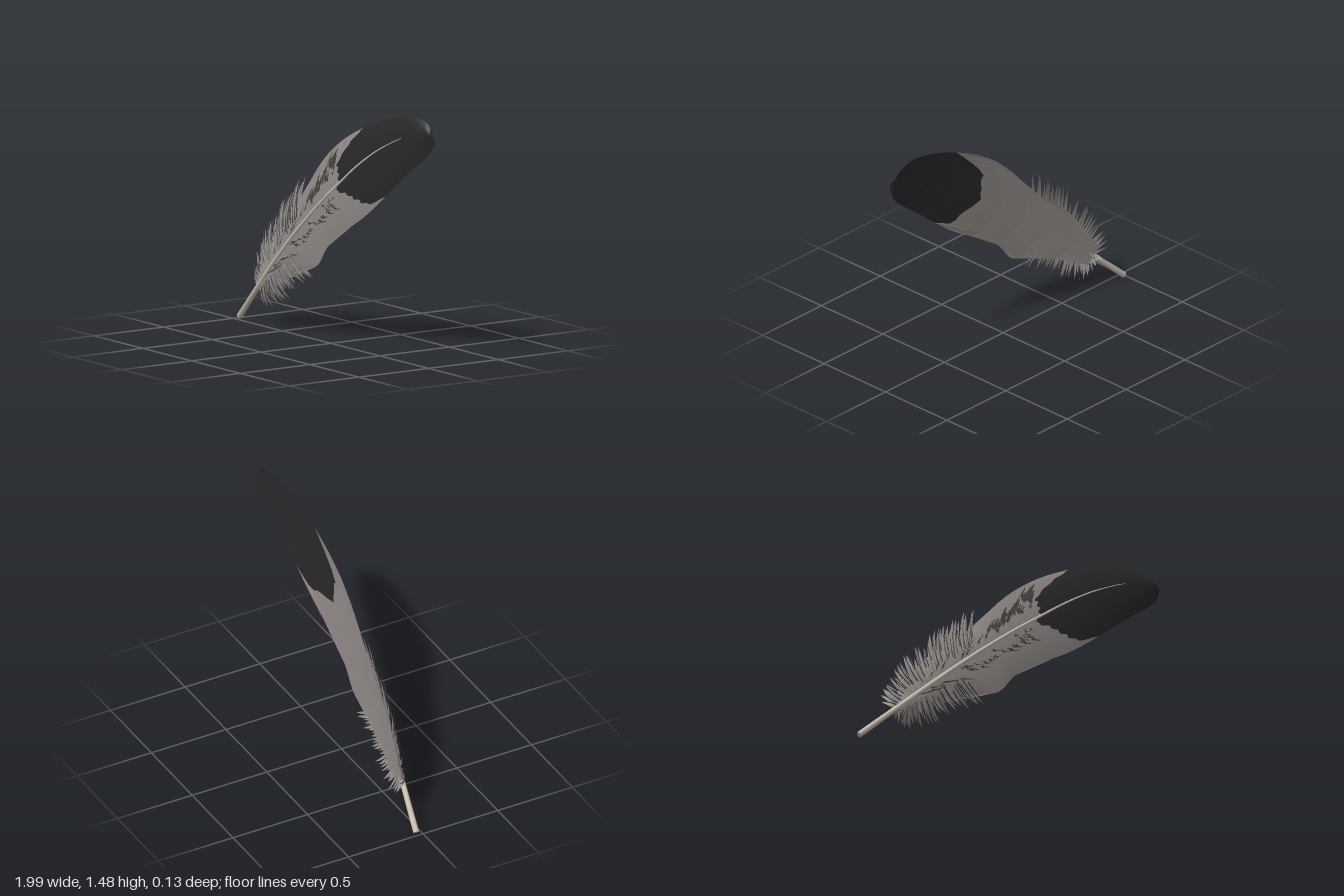
import * as THREE from 'three';

const mat = (name, color, extra = {}) => {
  const m = new THREE.MeshStandardMaterial({ color, side: THREE.DoubleSide, ...extra });
  m.name = name;
  return m;
};

// Seeded random numbers
let seed = 7;
const rnd = (a = 0, b = 1) => {
  seed = (seed * 16807) % 2147483647;
  return a + (b - a) * seed / 2147483647;
};

// Cross rows from base to tip: shaft x,y, upper edge x,y, lower edge x,y
const ROWS = [
  [-0.75, 0.225, -0.79, 0.27, -0.71, 0.18],
  [-0.6, 0.36, -0.67, 0.44, -0.53, 0.27],
  [-0.42, 0.52, -0.52, 0.63, -0.27, 0.4],
  [-0.22, 0.69, -0.31, 0.79, -0.1, 0.45],
  [-0.02, 0.85, -0.19, 0.93, 0.01, 0.58],
  [0.16, 0.985, -0.03, 1.1, 0.17, 0.69],
  [0.33, 1.11, 0.16, 1.24, 0.4, 0.83],
  [0.52, 1.23, 0.4, 1.36, 0.63, 1.01],
  [0.7, 1.32, 0.62, 1.44, 0.82, 1.165],
  [0.84, 1.375, 0.8, 1.476, 0.93, 1.25],
  [0.93, 1.395, 0.93, 1.45, 0.985, 1.31],
  [0.985, 1.38, 0.965, 1.42, 0.997, 1.345],
];
const LAST = ROWS.length - 1;
const curve = pts => new THREE.CatmullRomCurve3(pts.map(p => new THREE.Vector3(p[0], p[1], 0)));
const [mid, upper, lower] = [0, 2, 4].map(k => curve(ROWS.map(r => r.slice(k, k + 2))));

// Lengthwise bow of the whole feather
const bow = x => 0.045 - (x > 0.1 ? 0.1 : 0.07) * (x - 0.1) ** 2;

// Point on the vane: t along the rows, v from lower edge (-1) to upper edge (1)
function vanePoint(t, v, lift) {
  const u = THREE.MathUtils.clamp(t / LAST, 0, 1);
  const p = mid.getPoint(u).lerp((v > 0 ? upper : lower).getPoint(u), Math.abs(v));
  p.z = bow(p.x) - 0.014 * v * v + lift * (1 - v * v);
  return p;
}

// Where the dark tip begins, for each v
const EDGE = [[-1, 6.7], [-0.85, 6.15], [-0.35, 5.4], [-0.1, 4.85], [0, 5], [0.2, 5.2], [0.5, 5.4], [0.75, 6.2], [1, 6.9]];
function tipStart(v) {
  const i = Math.max(1, EDGE.findIndex(e => e[0] >= v - 1e-6));
  const [a, b] = [EDGE[i - 1], EDGE[i]];
  return a[1] + (b[1] - a[1]) * (v - a[0]) / (b[0] - a[0]) + 0.05 * Math.sin(v * 37);
}

// Patch of points joined into triangles facing the front, or the back if flipped
function patch(nu, nv, fn, flip = false) {
  const pos = [], idx = [];
  for (let i = 0; i <= nu; i++)
    for (let j = 0; j <= nv; j++) pos.push(...fn(i / nu, j / nv).toArray());
  for (let i = 0; i < nu; i++)
    for (let j = 0; j < nv; j++) {
      const a = i * (nv + 1) + j, b = a + nv + 1;
      idx.push(...(flip ? [a, a + 1, b, b, a + 1, b + 1] : [a, b, a + 1, b, b + 1, a + 1]));
    }
  return { pos, idx };
}

function toGeometry(patches, faceted = false) {
  const pos = [], idx = [];
  for (const p of patches) {
    const start = pos.length / 3;
    for (const n of p.pos) pos.push(n);
    for (const n of p.idx) idx.push(n + start);
  }
  let g = new THREE.BufferGeometry();
  g.setAttribute('position', new THREE.Float32BufferAttribute(pos, 3));
  g.setIndex(idx);
  if (faceted) g = g.toNonIndexed();
  g.computeVertexNormals();
  return g;
}

// Tapered, ridged barb that curves from root to tip and droops backwards
function barb(root, tip, side, width, droop, lift) {
  const dir = tip.clone().sub(root);
  const ctrl = root.clone().lerp(tip, 0.5).add(new THREE.Vector3(dir.y, -dir.x, 0).multiplyScalar(-side * 0.13));
  const c = new THREE.QuadraticBezierCurve3(root, ctrl, tip);
  return patch(6, 2, (s, w) => {
    const p = c.getPoint(s), d = c.getTangent(s);
    const half = width * Math.pow(1 - s, 0.7) * (0.6 + 0.8 * s) * (w * 2 - 1);
    p.x -= d.y * half;
    p.y += d.x * half;
    p.z = bow(p.x) + lift - droop * s * s + (w === 0.5 ? 0.006 * (1 - s) : 0);
    return p;
  });
}

export function createModel() {
  seed = 7;
  const group = new THREE.Group();
  const grey = mat('vane grey', 0x938d8a);
  const black = mat('tip black', 0x2a2a2a);
  const dark = mat('streak dark grey', 0x454341);
  const ivory = mat('shaft ivory', 0xc4bcab);
  const add = (name, geometry, material) => {
    const m = new THREE.Mesh(geometry, material);
    m.name = name;
    group.add(m);
  };

  // Vane: smooth front and faceted back, each split at the dark tip
  for (const [face, lift, nu, nv, flip] of [['Front', 0.012, 24, 48, false], ['Back', -0.012, 5, 16, true]]) {
    const across = w => w * 2 - 1;
    add('vane' + face, toGeometry([patch(nu, nv, (s, w) =>
      vanePoint(s * tipStart(across(w)), across(w), lift), flip)], flip), grey);
    add('darkTip' + face, toGeometry([patch(nu, nv, (s, w) => {
      const t = tipStart(across(w));
      return vanePoint(t + s * (LAST - t), across(w), lift);
    }, flip)], flip), black);
  }

  // Shaft: tube along the middle, thinning towards the tip
  const path = new THREE.CatmullRomCurve3([
    [-0.985, 0.014], [-0.87, 0.118], ...ROWS.slice(0, 9).map(r => [r[0], r[1]]), [0.74, 1.337],
  ].map(([x, y]) => new THREE.Vector3(x, y, bow(x) + 0.009 * THREE.MathUtils.smoothstep(x, -0.9, -0.5))));
  const SEG = 48, SIDES = 10;
  const tube = new THREE.TubeGeometry(path, SEG, 1, SIDES);
  const tp = tube.attributes.position, v = new THREE.Vector3();
  for (let i = 0; i <= SEG; i++) {
    const c = path.getPointAt(i / SEG), r = 0.019 - 0.0155 * i / SEG;
    for (let j = 0; j <= SIDES; j++) {
      const k = i * (SIDES + 1) + j;
      v.fromBufferAttribute(tp, k).sub(c).multiplyScalar(r).add(c);
      tp.setXYZ(k, v.x, v.y, v.z);
    }
  }
  add('shaft', tube, ivory);
  const cap = new THREE.CircleGeometry(0.019, SIDES);
  cap.lookAt(path.getTangentAt(0).negate());
  cap.translate(...path.getPointAt(0).toArray());
  add('shaftEnd', cap, ivory);

  // Loose barbs: outline of their tips on each side, with dark slivers between
  const sides = [
    [1, 2.75, 32, [[-0.85, 0.29], [-0.8, 0.4], [-0.71, 0.56], [-0.59, 0.69], [-0.46, 0.83], [-0.36, 0.9], [-0.25, 0.965]]],
    [-1, 2.1, 30, [[-0.79, 0.2], [-0.67, 0.1], [-0.53, 0.15], [-0.41, 0.23], [-0.31, 0.29], [-0.18, 0.37]]],
  ];
  const light = [], slivers = [];
  for (const [side, span, count, outline] of sides) {
    const tips = curve(outline);
    for (let i = 0; i < count; i++) {
      const s = i / (count - 1);
      const root = mid.getPoint(s * span / LAST);
      const end = tips.getPoint(s);
      const tip = root.clone().lerp(end, i === count - 1 ? 1 : rnd(0.74, 1.03));
      const droop = rnd(0.02, 0.055);
      light.push(barb(root, tip, side, rnd(0.015, 0.022), droop, rnd(0.002, 0.01)));
      const shift = new THREE.Vector3(rnd(-0.015, 0.02), rnd(-0.01, 0.01), 0);
      const from = root.clone().lerp(tip, rnd(0.2, 0.5)).add(shift);
      slivers.push(barb(from, tip.clone().add(shift), side, rnd(0.003, 0.007), droop * 0.8, 0.012));
    }
  }
  add('looseBarbs', toGeometry(light, true), grey);
  add('barbSlivers', toGeometry(slivers, true), dark);

  // Dark streaks lying on the front of the vane, slanting towards the tip
  const streaks = [];
  const streak = (side, t0, v0, len, width) => {
    const slope = side > 0 ? 1.5 : 1.9;
    if (t0 + slope * (v0 + len) > tipStart(side * (v0 + len)) + 0.2) return;
    streaks.push(patch(5, 2, (s, w) => {
      const vv = v0 + len * s;
      const t = t0 + slope * vv + width * Math.sin(Math.PI * s) * (w * 2 - 1) + 0.04 * Math.sin(s * 9);
      const p = vanePoint(t, side * vv, 0.012);
      p.z += 0.003;
      return p;
    }, side < 0));
  };
  for (let i = 0; i < 42; i++) streak(1, rnd(3, 4.5), rnd(0.3, 0.65), rnd(0.15, 0.32), rnd(0.03, 0.07));
  for (let i = 0; i < 26; i++) streak(1, rnd(1, 3.6), rnd(0.1, 0.5), rnd(0.2, 0.35), rnd(0.02, 0.05));
  for (let i = 0; i < 44; i++) streak(-1, rnd(0.6, 4.4), rnd(0.08, 0.35), rnd(0.1, 0.25), rnd(0.02, 0.05));
  add('vaneStreaks', toGeometry(streaks), dark);

  return group;
}
